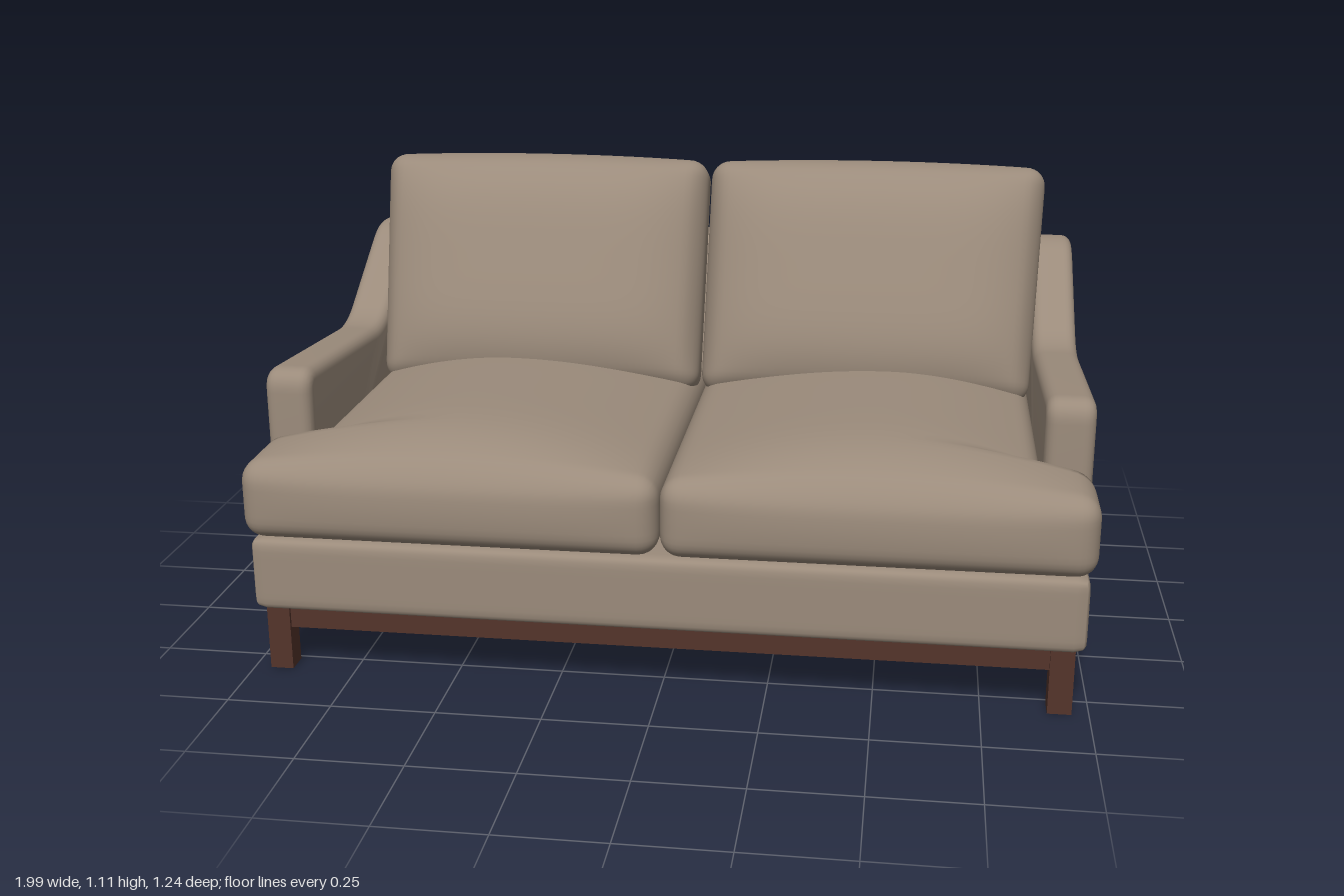
import * as THREE from 'three';
import { mergeVertices, toCreasedNormals } from 'three/addons/utils/BufferGeometryUtils.js';

const mat = (name, color, side = THREE.FrontSide) => {
  const m = new THREE.MeshStandardMaterial({ color, side });
  m.name = name;
  return m;
};

// Smooth rounded block with half sizes hx, hy, hz; rule(p, u, v, w) may then reshape it
function softBlock(hx, hy, hz, r, rule, seg = [40, 20, 40]) {
  let g = new THREE.BoxGeometry(2, 2, 2, ...seg);
  g.deleteAttribute('uv');
  g.deleteAttribute('normal');
  g = mergeVertices(g);
  const pos = g.attributes.position;
  const half = new THREE.Vector3(hx, hy, hz);
  const inner = half.clone().subScalar(r);
  const outer = inner.clone().negate();
  const p = new THREE.Vector3(), c = new THREE.Vector3();
  const ease = t => 0.3 * t + 0.7 * Math.sin(t * Math.PI / 2); // denser rows near edges
  for (let i = 0; i < pos.count; i++) {
    p.fromBufferAttribute(pos, i);
    p.set(ease(p.x), ease(p.y), ease(p.z)).multiply(half);
    c.copy(p).clamp(outer, inner);
    p.sub(c).setLength(r).add(c);
    if (rule) rule(p, p.x / hx, p.y / hy, p.z / hz);
    pos.setXYZ(i, p.x, p.y, p.z);
  }
  g.computeVertexNormals();
  return g;
}

// Side profile of [z, y, cornerRadius] points, extruded along x with rounded edges
function sideExtrude(points, width, bevel) {
  const s = new THREE.Shape();
  const n = points.length;
  points.forEach((pt, i) => {
    const at = new THREE.Vector2(pt[0], pt[1]);
    const toward = q => new THREE.Vector2(q[0], q[1]).sub(at).setLength(pt[2]).add(at);
    const a = toward(points[(i + n - 1) % n]), b = toward(points[(i + 1) % n]);
    if (i) s.lineTo(a.x, a.y); else s.moveTo(a.x, a.y);
    s.quadraticCurveTo(at.x, at.y, b.x, b.y);
  });
  s.closePath();
  const g = new THREE.ExtrudeGeometry(s, {
    depth: width - 2 * bevel, bevelThickness: bevel, bevelSize: bevel,
    bevelOffset: -bevel, bevelSegments: 5, curveSegments: 8,
  });
  g.translate(0, 0, bevel - width / 2);
  g.rotateY(-Math.PI / 2);
  return toCreasedNormals(g, 0.6);
}

export function createModel() {
  const model = new THREE.Group();
  model.name = 'sofa';
  const fabric = mat('taupe fabric', 0x9b8b7b);
  const wood = mat('dark wood', 0x54342b);
  const black = mat('black underside', 0x131313);
  const metal = mat('dark support', 0x202020);

  const add = (name, geometry, material, x = 0, y = 0, z = 0) => {
    const m = new THREE.Mesh(geometry, material);
    m.name = name;
    m.position.set(x, y, z);
    model.add(m);
    return m;
  };
  const box = (name, material, x0, x1, y0, y1, z0, z1) =>
    add(name, new THREE.BoxGeometry(x1 - x0, y1 - y0, z1 - z0), material,
      (x0 + x1) / 2, (y0 + y1) / 2, (z0 + z1) / 2);

  // Upholstered base, front skirt and raked back
  box('seatBase', fabric, -0.9, 0.9, 0.163, 0.345, -0.44, 0.45);
  add('frontSkirt', softBlock(0.983, 0.092, 0.096, 0.025, null, [24, 12, 12]), fabric, 0, 0.253, 0.5);
  add('backPanel', sideExtrude([
    [-0.488, 0.162, 0.015], [-0.36, 0.162, 0.01], [-0.51, 0.878, 0.035], [-0.618, 0.878, 0.03],
  ], 1.8, 0.006), fabric);

  // Sloping arms that sweep up to the back
  const arm = sideExtrude([
    [-0.49, 0.162, 0.02], [0.418, 0.162, 0.02], [0.418, 0.712, 0.06],
    [-0.2, 0.668, 0.08], [-0.53, 0.882, 0.05], [-0.622, 0.882, 0.03],
  ], 0.115, 0.028);

  // T-shaped seat cushions: wide ahead of the arms, narrower between them
  const seat = side => softBlock(0.498, 0.095, 0.51, 0.05, (p, u, v, w) => {
    const narrow = 1 - THREE.MathUtils.smoothstep(p.z + 0.1, 0.395, 0.43);
    if (u * side > 0) p.x -= side * 0.122 * narrow * u * side;
    const dome = (1 - u * u) * (1 - Math.pow(Math.abs(w), 5));
    if (v > 0) p.y += 0.078 * dome * v;
    if (w > 0) p.z += 0.014 * (1 - u ** 4) * (1 - v * v) * w;
  }, [40, 16, 60]);

  // Plump back cushions, leaning back
  const pillow = side => softBlock(0.447, 0.315, 0.07, 0.05, (p, u, v, w) => {
    const dome = (1 - u ** 4) * (1 - v ** 4);
    p.z += w * (w > 0 ? 0.092 : 0.088) * dome;
    p.y += v * 0.012 * (1 - u * u);
    if (u * side > 0) p.x -= u * 0.03 * (1 - v) / 2;
  }, [40, 40, 16]);

  for (const side of [-1, 1]) {
    const label = side > 0 ? 'left' : 'right';
    add(label + 'Arm', arm, fabric, side * 0.931);
    add(label + 'SeatCushion', seat(side), fabric, side * 0.499, 0.44, 0.1);
    const holder = new THREE.Group();
    holder.name = label + 'BackCushion';
    holder.rotation.x = -0.405;
    const m = new THREE.Mesh(pillow(side), fabric);
    m.name = label + 'BackPillow';
    m.position.set(side * 0.451, 0.858, 0.02);
    holder.add(m);
    model.add(holder);

    // Legs and side rail
    const cx = side * 0.932;
    for (const [end, z] of [['Front', 0.542], ['Back', -0.442]])
      box(label + end + 'Leg', wood, cx - 0.028, cx + 0.028, 0, 0.165, z - 0.028, z + 0.028);
    box(label + 'Rail', wood, cx - 0.02, cx + 0.02, 0.107, 0.165, -0.42, 0.52);
  }

  // Wooden frame, underside cloth and centre support
  box('frontRail', wood, -0.91, 0.91, 0.107, 0.165, 0.522, 0.562);
  box('backRail', wood, -0.91, 0.91, 0.107, 0.165, -0.462, -0.422);
  box('middleRail', wood, -0.02, 0.02, 0.107, 0.16, -0.425, 0.525);
  box('undersideCloth', black, -0.92, 0.92, 0.142, 0.15, -0.43, 0.53);
  box('centreSupport', metal, -0.015, 0.015, 0, 0.108, 0.035, 0.065);
  return model;
}
